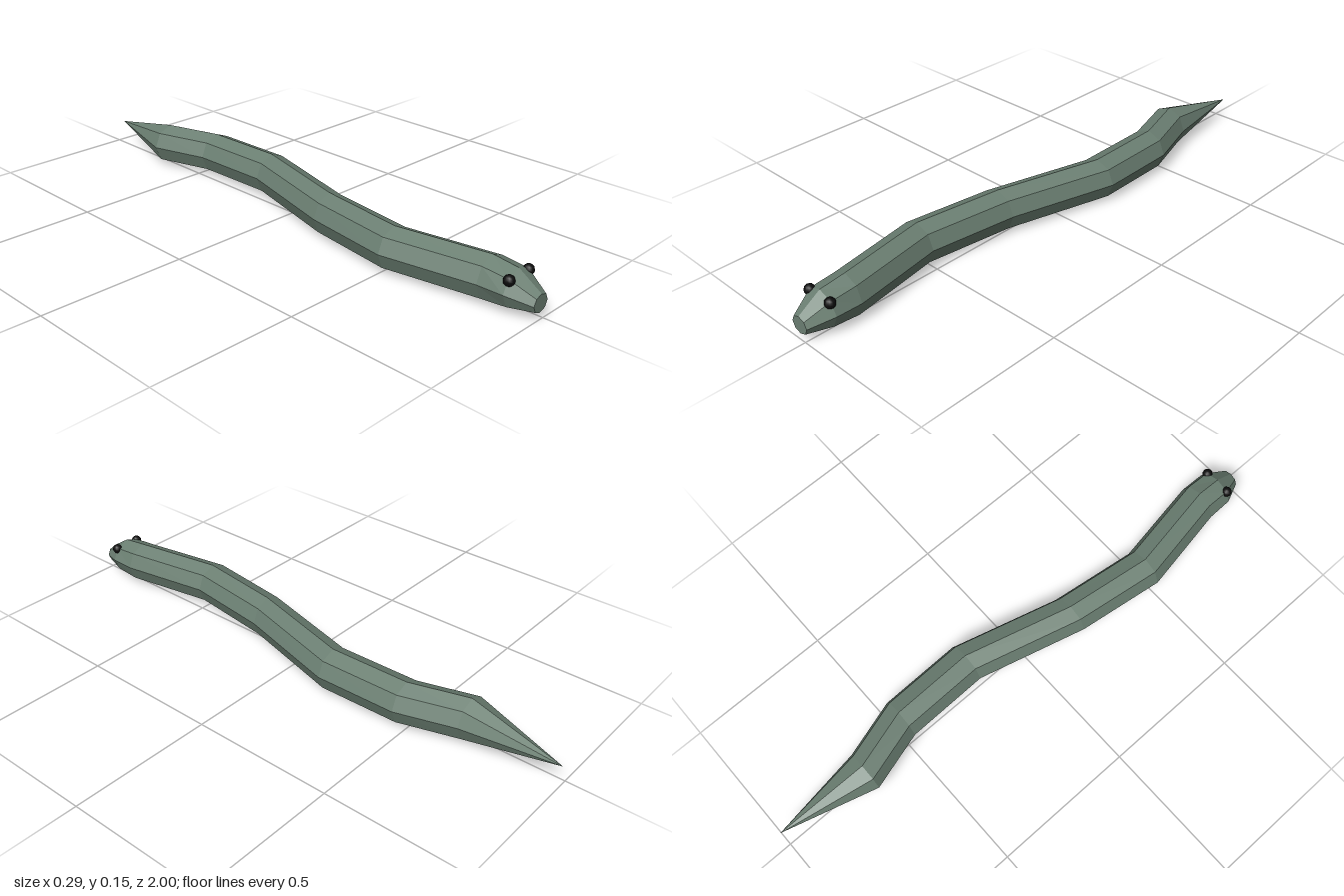
import * as THREE from 'three';

const SIDES = 8;

// Octagonal rings from tail to snout: z, centre x, half width, bottom y, middle y, top y
const RINGS = [
  [-1.0, 0.03, 0, 0.073, 0.073, 0.073],
  [-0.67, 0.007, 0.072, 0, 0.073, 0.146],
  [-0.47, 0.067, 0.073, 0, 0.073, 0.146],
  [-0.18, 0.072, 0.073, 0, 0.073, 0.146],
  [0.2, -0.031, 0.072, 0, 0.073, 0.146],
  [0.51, -0.073, 0.073, 0, 0.073, 0.146],
  [0.83, -0.018, 0.072, 0, 0.073, 0.146],
  [0.92, -0.018, 0.07, 0.01, 0.073, 0.135],
  [1.0, -0.018, 0.034, 0.023, 0.053, 0.083],
];

// Skin a run of rings, optionally closing the front end
function skin(rings, capFront) {
  const positions = [];
  const index = [];
  for (const [z, cx, halfWidth, bottom, middle, top] of rings) {
    for (let j = 0; j < SIDES; j++) {
      const a = (j / SIDES) * Math.PI * 2;
      const s = Math.sin(a);
      const height = s > 0 ? top - middle : middle - bottom;
      positions.push(cx + Math.cos(a) * halfWidth, middle + s * height, z);
    }
  }
  for (let i = 0; i < rings.length - 1; i++) {
    for (let j = 0; j < SIDES; j++) {
      const k = (j + 1) % SIDES;
      const a = i * SIDES + j, b = i * SIDES + k;
      const c = b + SIDES, d = a + SIDES;
      if (rings[i][2] > 0) index.push(a, b, c, a, c, d);
      else index.push(a, c, d); // pointed tail
    }
  }
  if (capFront) {
    const first = (rings.length - 1) * SIDES;
    for (let j = 1; j < SIDES - 1; j++) index.push(first, first + j, first + j + 1);
  }
  const indexed = new THREE.BufferGeometry();
  indexed.setAttribute('position', new THREE.Float32BufferAttribute(positions, 3));
  indexed.setIndex(index);
  const geometry = indexed.toNonIndexed(); // separate corners give flat facets
  geometry.computeVertexNormals();
  return geometry;
}

export function createModel() {
  const model = new THREE.Group();
  model.name = 'snake';

  const skinGreen = new THREE.MeshStandardMaterial({ color: 0x6b7f72 });
  skinGreen.name = 'greyGreenSkin';
  const eyeBlack = new THREE.MeshStandardMaterial({ color: 0x0c0c0c });
  eyeBlack.name = 'eyeBlack';

  const add = (name, geometry, material) => {
    const mesh = new THREE.Mesh(geometry, material);
    mesh.name = name;
    model.add(mesh);
    return mesh;
  };

  // Tail, winding body and blunt head share their end rings
  add('tail', skin(RINGS.slice(0, 2), false), skinGreen);
  add('body', skin(RINGS.slice(1, 7), false), skinGreen);
  add('head', skin(RINGS.slice(6), true), skinGreen);

  // Eyes, mirrored about the middle of the head
  const eyeGeometry = new THREE.SphereGeometry(0.018, 10, 8);
  for (const [name, side] of [['leftEye', 1], ['rightEye', -1]]) {
    add(name, eyeGeometry, eyeBlack).position.set(-0.018 + side * 0.048, 0.113, 0.922);
  }

  return model;
}
